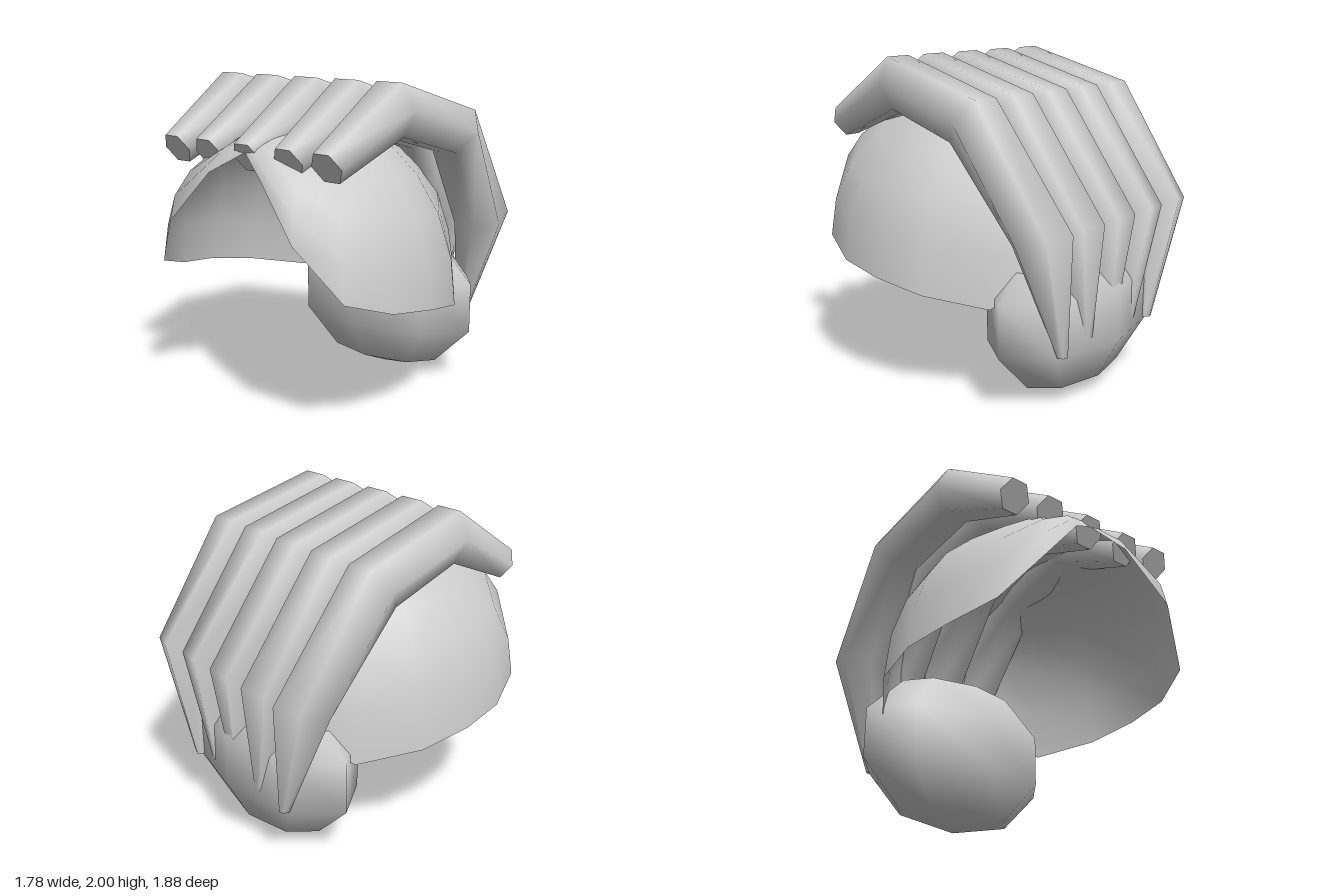
import * as THREE from 'three';

const clay = new THREE.MeshStandardMaterial({ color: 0xcccccc, side: THREE.DoubleSide });
clay.name = 'light grey';

function buildGeometry(positions, index) {
  const g = new THREE.BufferGeometry();
  g.setAttribute('position', new THREE.Float32BufferAttribute(positions, 3));
  g.setIndex(index);
  g.computeVertexNormals();
  return g;
}

function addMesh(parent, name, geometry) {
  const mesh = new THREE.Mesh(geometry, clay);
  mesh.name = name;
  parent.add(mesh);
  return mesh;
}

// Finger sections from tip to root: outer [z, y], inner [z, y], half width
const SECTIONS = [
  [0.81, 1.66, 0.72, 1.50, 0.105],
  [0.27, 2.00, 0.24, 1.70, 0.17],
  [-0.43, 1.80, -0.24, 1.56, 0.17],
  [-0.93, 1.11, -0.62, 1.02, 0.172],
  [-0.84, 0.37, -0.78, 0.37, 0.035],
];
const SIDES = 6;

// Six-sided tapered finger; xs gives its sideways position at each section
function makeFinger(xs, rolls) {
  const rings = SECTIONS.map(([oz, oy, iz, iy, r], s) => {
    const ring = [];
    const cz = (oz + iz) / 2, cy = (oy + iy) / 2;
    const k = 1 / (2 * Math.sin(Math.PI / 3));
    for (let j = 0; j < SIDES; j++) {
      const a = j / SIDES * Math.PI * 2 + rolls[s];
      const up = Math.sin(a) * k;
      ring.push([xs[s] + r * Math.cos(a), cy + (oy - iy) * up, cz + (oz - iz) * up]);
    }
    return ring;
  });
  const index = [];
  for (let i = 0; i < rings.length - 1; i++) {
    for (let j = 0; j < SIDES; j++) {
      const a = i * SIDES + j, b = i * SIDES + (j + 1) % SIDES;
      const c = a + SIDES, d = b + SIDES;
      index.push(a, c, b, b, c, d);
    }
  }
  const capIndex = [];
  for (let j = 1; j < SIDES - 1; j++) {
    capIndex.push(0, j, j + 1, SIDES, SIDES + j + 1, SIDES + j);
  }
  return {
    skin: buildGeometry(rings.flat(2), index),
    caps: buildGeometry([rings[0], rings[rings.length - 1]].flat(2), capIndex),
  };
}

// Right half of the shell's rim, from the front peak round to the back
const RIM = [
  [0, 1.61, 0.78], [0.2, 1.49, 0.87], [0.48, 1.18, 0.93], [0.72, 0.87, 0.79],
  [0.845, 0.78, 0.52], [0.89, 0.74, 0.22], [0.84, 0.68, -0.1], [0.63, 0.61, -0.43],
  [0.48, 0.74, -0.62], [0.25, 0.82, -0.72], [0, 0.84, -0.76],
];
const CROWN = [0, 1.76, 0.1];

// Open dome: elliptical arcs from the crown down to each rim point
function makeShell() {
  const mirrored = RIM.slice(1, -1).reverse().map(([x, y, z]) => [-x, y, z]);
  const rim = [...RIM, ...mirrored];
  const n = rim.length, rows = 6;
  const positions = [...CROWN], index = [];
  for (let i = 1; i <= rows; i++) {
    const a = i / rows * Math.PI / 2;
    for (const [x, y, z] of rim) {
      positions.push(
        x * Math.sin(a),
        CROWN[1] + (y - CROWN[1]) * (1 - Math.cos(a)),
        CROWN[2] + (z - CROWN[2]) * Math.sin(a));
    }
  }
  for (let j = 0; j < n; j++) {
    const k = (j + 1) % n;
    index.push(0, 1 + j, 1 + k);
    for (let i = 0; i < rows - 1; i++) {
      const a = 1 + i * n + j, b = 1 + i * n + k;
      index.push(a, a + n, b, b, a + n, b + n);
    }
  }
  return buildGeometry(positions, index);
}

export function createModel() {
  const model = new THREE.Group();
  model.name = 'shellAndFingers';

  // Rounded body at the base
  const body = addMesh(model, 'body', new THREE.SphereGeometry(1, 8, 5));
  body.scale.set(0.715, 0.515, 0.375);
  body.position.set(0, 0.515, -0.54);

  // Open shell under the fingers
  addMesh(model, 'shell', makeShell());

  // Five curled fingers, mirrored about the middle one
  const spread = [
    [0, 0, 0, 0, 0],
    [0.31, 0.31, 0.325, 0.31, 0.22],
    [0.58, 0.61, 0.65, 0.60, 0.45],
  ];
  for (let i = -2; i <= 2; i++) {
    const s = Math.sign(i), m = Math.abs(i);
    const roll = -s * [0, 0.18, 0.3][m];
    const parts = makeFinger(spread[m].map(x => x * s), [0, 0, 0, roll, roll]);
    const finger = new THREE.Group();
    finger.name = 'finger' + (i + 3);
    addMesh(finger, 'fingerSkin', parts.skin);
    addMesh(finger, 'fingerEnds', parts.caps);
    model.add(finger);
  }
  return model;
}
